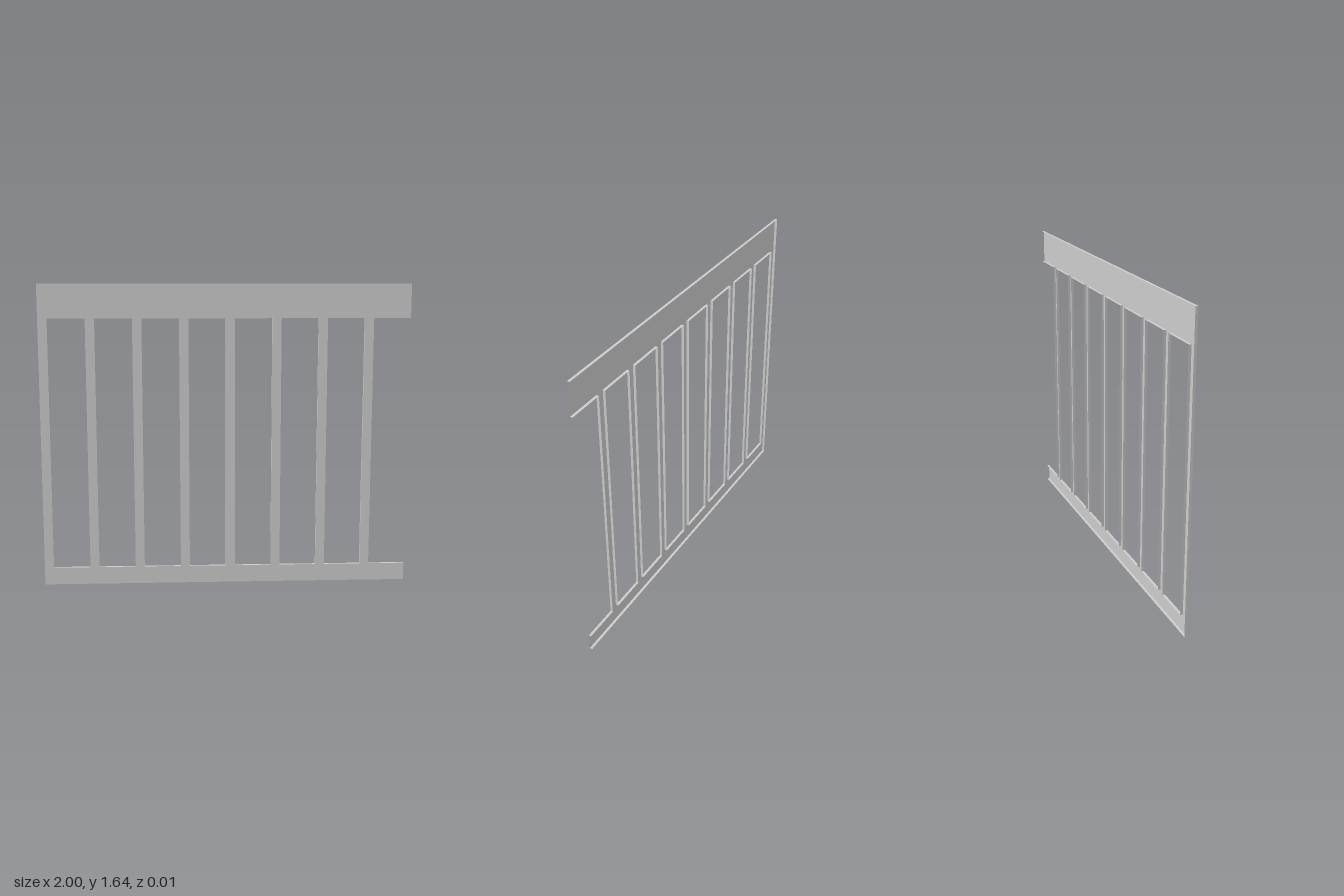
import * as THREE from 'three';

const HEIGHT = 1.645, RAIL_LOW = 0.095, RAIL_HIGH = 1.462;
const BAY = 0.25, POST = 0.05, DEPTH = 0.014;

// Keep only the triangles whose three corners do not all pass the test
function dropFaces(geometry, test) {
  const source = geometry.index ? geometry.toNonIndexed() : geometry;
  const p = source.attributes.position;
  const kept = [];
  for (let i = 0; i < p.count; i += 3) {
    const corners = [i, i + 1, i + 2];
    if (test(corners.map((c) => new THREE.Vector3().fromBufferAttribute(p, c)))) continue;
    for (const c of corners) kept.push(p.getX(c), p.getY(c), p.getZ(c));
  }
  const out = new THREE.BufferGeometry();
  out.setAttribute('position', new THREE.Float32BufferAttribute(kept, 3));
  out.computeVertexNormals();
  return out;
}

export function createModel() {
  const model = new THREE.Group();
  model.name = 'railing';

  // Outline: closed at -x, last bay open at +x so that sections can join
  const lastPost = 1 - BAY + POST;
  const outline = new THREE.Shape([
    [-1, 0], [1, 0], [1, RAIL_LOW], [lastPost, RAIL_LOW],
    [lastPost, RAIL_HIGH], [1, RAIL_HIGH], [1, HEIGHT], [-1, HEIGHT],
  ].map(([x, y]) => new THREE.Vector2(x, y)));

  // Gaps between the balusters
  for (let i = 0; i < 7; i++) {
    const x0 = -1 + BAY * i + POST, x1 = -1 + BAY * (i + 1);
    outline.holes.push(new THREE.Path([
      [x0, RAIL_LOW], [x0, RAIL_HIGH], [x1, RAIL_HIGH], [x1, RAIL_LOW],
    ].map(([x, y]) => new THREE.Vector2(x, y))));
  }

  // Front plate with shallow lips; the back and the +x rail ends stay open
  const solid = new THREE.ExtrudeGeometry(outline, { depth: DEPTH, bevelEnabled: false });
  solid.translate(0, 0, -DEPTH / 2);
  const shell = dropFaces(solid, (tri) =>
    tri.every((v) => v.z < 0) || tri.every((v) => v.x > 0.999));

  const material = new THREE.MeshStandardMaterial({ color: 0xcccccc, side: THREE.DoubleSide });
  const panel = new THREE.Mesh(shell, material);
  panel.name = 'railsAndBalusters';
  model.add(panel);
  return model;
}
